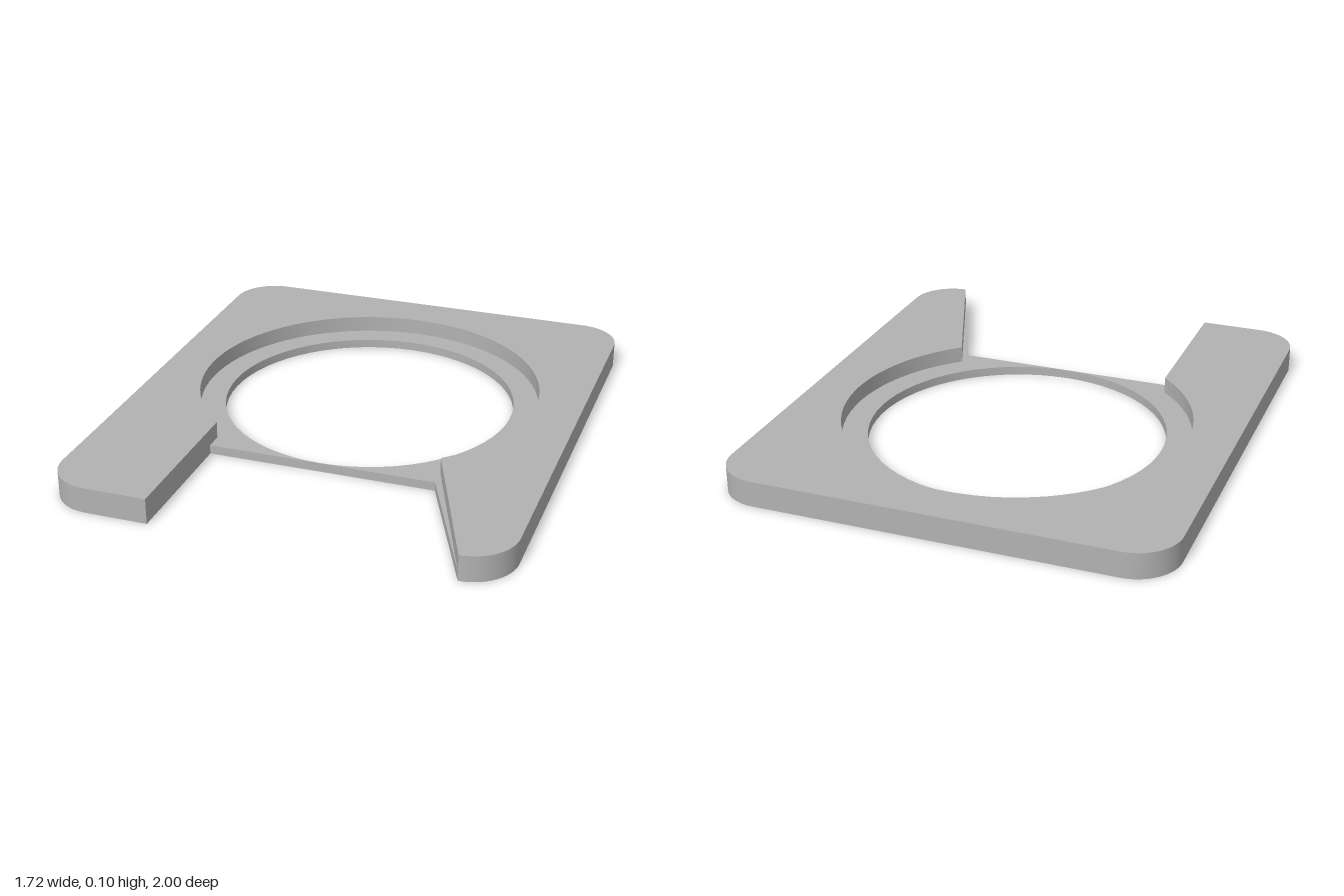
import * as THREE from 'three';
import { toCreasedNormals } from 'three/addons/utils/BufferGeometryUtils.js';

const HALF_W = 0.86, HALF_L = 1, CORNER = 0.17;   // plate outline
const SLOT = 0.447, LIP = 0.443;                  // front slot half width, ledge front edge
const CENTRE = 0.14, HOLE_R = 0.58, SEAT_R = 0.68; // round opening and its recess
const HEIGHT = 0.1, LEDGE = 0.035;

// Plate outline seen from above (shape y = -z), up to the slot's left front corner
function outline() {
  const s = new THREE.Shape();
  const cx = HALF_W - CORNER, cy = HALF_L - CORNER, q = Math.PI / 2;
  s.moveTo(SLOT, -HALF_L);
  [[cx, -cy], [cx, cy], [-cx, cy], [-cx, -cy]].forEach(([x, y], i) =>
    s.absarc(x, y, CORNER, (i - 1) * q, i * q, false));
  s.lineTo(-SLOT, -HALF_L);
  return s;
}

function slab(name, shape, y, depth, material) {
  const g = new THREE.ExtrudeGeometry(shape, { depth, bevelEnabled: false, curveSegments: 32 });
  g.rotateX(-Math.PI / 2).translate(0, y, 0);
  const mesh = new THREE.Mesh(toCreasedNormals(g, 0.5), material);
  mesh.name = name;
  return mesh;
}

export function createModel() {
  const grey = new THREE.MeshStandardMaterial({ color: 0xb2b2b2 });
  grey.name = 'plain grey';
  const group = new THREE.Group();
  group.name = 'recessedPlate';

  // Lower layer: slot ends at the ledge, with the round through hole
  const lower = outline();
  lower.lineTo(-SLOT, -LIP);
  lower.lineTo(SLOT, -LIP);
  lower.closePath();
  const hole = new THREE.Path();
  hole.absarc(0, CENTRE, HOLE_R, 0, Math.PI * 2, true);
  lower.holes.push(hole);
  group.add(slab('lowerPlateWithLedge', lower, 0, LEDGE, grey));

  // Upper layer: slot opens into the wider round recess
  const upper = outline();
  const a = Math.acos(SLOT / SEAT_R);
  upper.absarc(0, CENTRE, SEAT_R, Math.PI + a, -a, true);
  upper.closePath();
  group.add(slab('upperPlateWithRecess', upper, LEDGE, HEIGHT - LEDGE, grey));

  return group;
}
